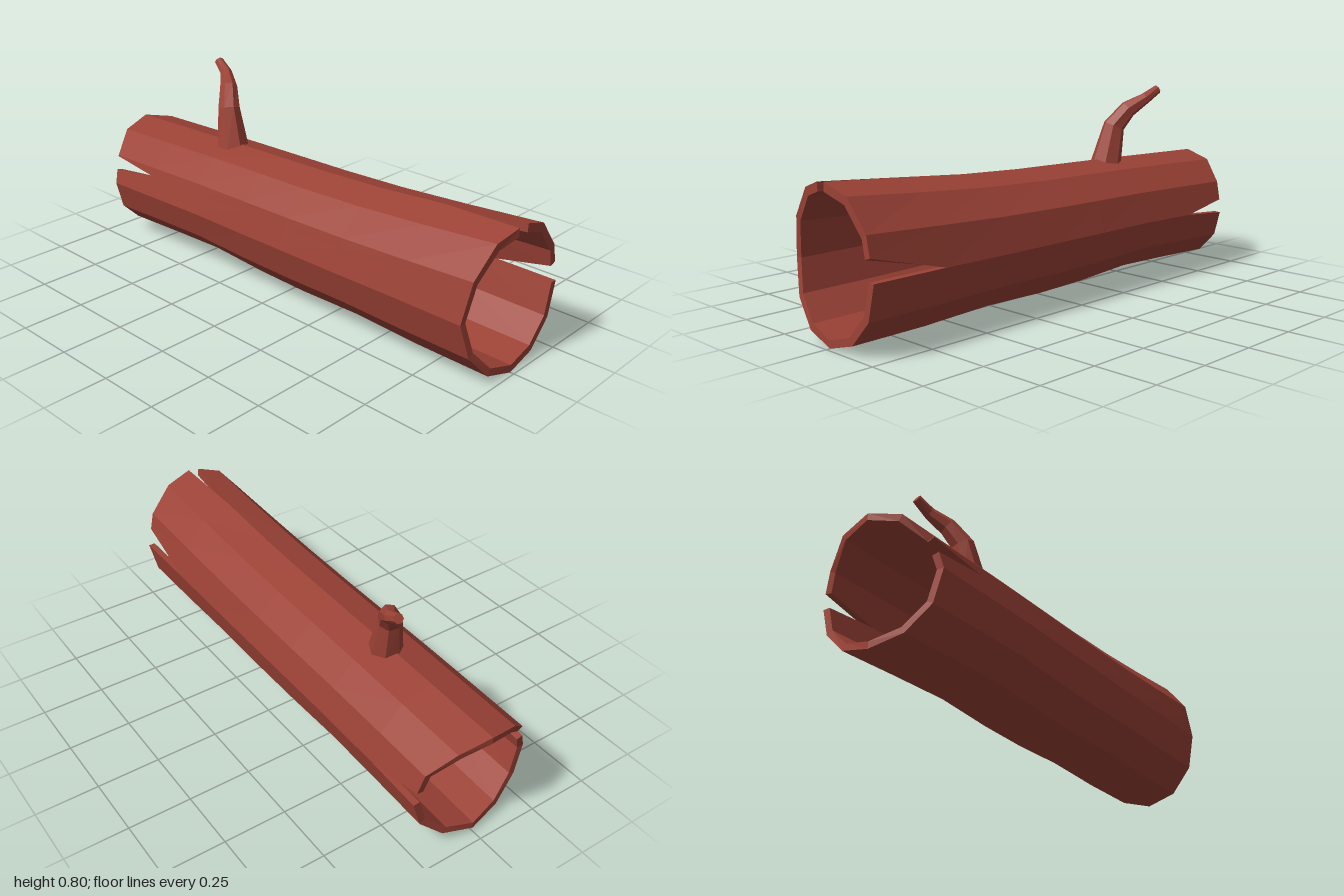
import * as THREE from 'three';

const bark = new THREE.MeshStandardMaterial({ color: 0x9c4236, flatShading: true });
bark.name = 'bark red';

// collects quads (corners anticlockwise from outside) into a faceted mesh
function quadBuilder() {
  const pos = [];
  return {
    quad(a, b, c, d) { for (const p of [a, b, c, a, c, d]) pos.push(p.x, p.y, p.z); },
    tri(a, b, c) { for (const p of [a, b, c]) pos.push(p.x, p.y, p.z); },
    mesh(name) {
      const g = new THREE.BufferGeometry();
      g.setAttribute('position', new THREE.Float32BufferAttribute(pos, 3));
      g.computeVertexNormals();
      const m = new THREE.Mesh(g, bark);
      m.name = name;
      return m;
    },
  };
}

// log stations from front to back: z, top, bottom, middle height
const STATIONS = [
  [0.985, 0.577, 0.002, 0.27], [0.68, 0.548, 0.004, 0.27], [0.38, 0.525, 0.018, 0.267],
  [0.1, 0.513, 0.012, 0.266], [-0.13, 0.508, 0.018, 0.265], [-0.4, 0.502, 0.037, 0.265],
  [-0.68, 0.494, 0.028, 0.258], [-0.95, 0.485, 0.017, 0.252],
];
const LAST = STATIONS.length - 1;
// ragged ends: z at each of the 12 corners, from the bottom round by +x
const FRONT_Z = [0.985, 0.985, 0.985, 0.985, 0.985, 0.99, 1, 0.975, 0.955, 0.937, 0.955, 0.975];
const BACK_Z = [-0.955, -0.935, -0.915, -0.91, -0.925, -0.975, -1, -0.975, -0.925, -0.91, -0.915, -0.935];

// corner k of the twelve-sided section at station i
function corner(i, k, scale) {
  k = ((k % 12) + 12) % 12;
  const [z, top, bottom, mid] = STATIONS[i];
  const a = (k / 12) * Math.PI * 2;
  const c = -Math.cos(a);
  const y = mid + c * (c > 0 ? top - mid : mid - bottom) * scale;
  const zz = i === 0 ? FRONT_Z[k] : i === LAST ? BACK_Z[k] : z;
  return new THREE.Vector3(Math.sin(a) * 0.25 * scale, y, zz);
}

// any point along the section's edges, u running 0 to 12
function sectionPoint(i, u, scale) {
  const k = Math.floor(u);
  return corner(i, k, scale).lerp(corner(i, k + 1, scale), u - k);
}

// one strip of wall between two splits; a column is u or [front, middle, back]
function addStrip(b, columns) {
  const uAt = (c, i) => (Array.isArray(c) ? c[i === 0 ? 0 : i === LAST ? 2 : 1] : c);
  const out = columns.map((c) => STATIONS.map((_, i) => sectionPoint(i, uAt(c, i), 1)));
  const inn = columns.map((c) => STATIONS.map((_, i) => sectionPoint(i, uAt(c, i), 0.89)));
  const n = columns.length - 1;
  for (let j = 0; j < n; j++) {
    for (let i = 0; i < LAST; i++) {
      b.quad(out[j][i], out[j][i + 1], out[j + 1][i + 1], out[j + 1][i]);
      b.quad(inn[j][i], inn[j + 1][i], inn[j + 1][i + 1], inn[j][i + 1]);
    }
    b.quad(out[j][0], out[j + 1][0], inn[j + 1][0], inn[j][0]);
    b.quad(out[j][LAST], inn[j][LAST], inn[j + 1][LAST], out[j + 1][LAST]);
  }
  // cut faces of the splits, only at the two ends of the log
  for (const i of [0, LAST - 1]) {
    b.quad(out[0][i], inn[0][i], inn[0][i + 1], out[0][i + 1]);
    b.quad(out[n][i], out[n][i + 1], inn[n][i + 1], inn[n][i]);
  }
}

function makeLog() {
  const b = quadBuilder();
  addStrip(b, [[3.52, 3, 3.35], 4, 5, [5.88, 6, 6]]);
  addStrip(b, [[6.24, 6, 6], 7, 8, [8.3, 8.3, 8.03]]);
  addStrip(b, [[8.3, 8.3, 8.5], 9, 10, 11, 12, 13, 14, [15, 15, 14.87]]);
  return b.mesh('hollowLog');
}

// bent, tapering branch
function makeBranch() {
  const b = quadBuilder();
  const SIDES = 7;
  const path = [ // centre x, y, z, radius
    [0, 0.472, -0.42, 0.067], [0.015, 0.637, -0.457, 0.045], [0.055, 0.707, -0.5, 0.036],
    [0.097, 0.75, -0.56, 0.024], [0.112, 0.785, -0.62, 0.019],
  ];
  const centres = path.map((p) => new THREE.Vector3(p[0], p[1], p[2]));
  const rings = path.map((p, i) => {
    const t = i === 0 ? new THREE.Vector3(0, 1, 0)
      : centres[Math.min(i + 1, path.length - 1)].clone().sub(centres[i - 1]).normalize();
    const e1 = new THREE.Vector3().crossVectors(t, new THREE.Vector3(0, 0.4, 1)).normalize();
    const e2 = new THREE.Vector3().crossVectors(t, e1);
    return Array.from({ length: SIDES }, (_, j) => {
      const a = (j / SIDES) * Math.PI * 2;
      return centres[i].clone()
        .addScaledVector(e1, Math.cos(a) * p[3])
        .addScaledVector(e2, Math.sin(a) * p[3]);
    });
  });
  const end = rings.length - 1;
  for (let j = 0; j < SIDES; j++) {
    const k = (j + 1) % SIDES;
    for (let i = 0; i < end; i++) {
      b.quad(rings[i][j], rings[i][k], rings[i + 1][k], rings[i + 1][j]);
    }
    b.tri(centres[end], rings[end][j], rings[end][k]);
    b.tri(centres[0], rings[0][k], rings[0][j]);
  }
  return b.mesh('branch');
}

export function createModel() {
  const group = new THREE.Group();
  group.name = 'fallenLog';
  group.add(makeLog(), makeBranch());
  return group;
}
